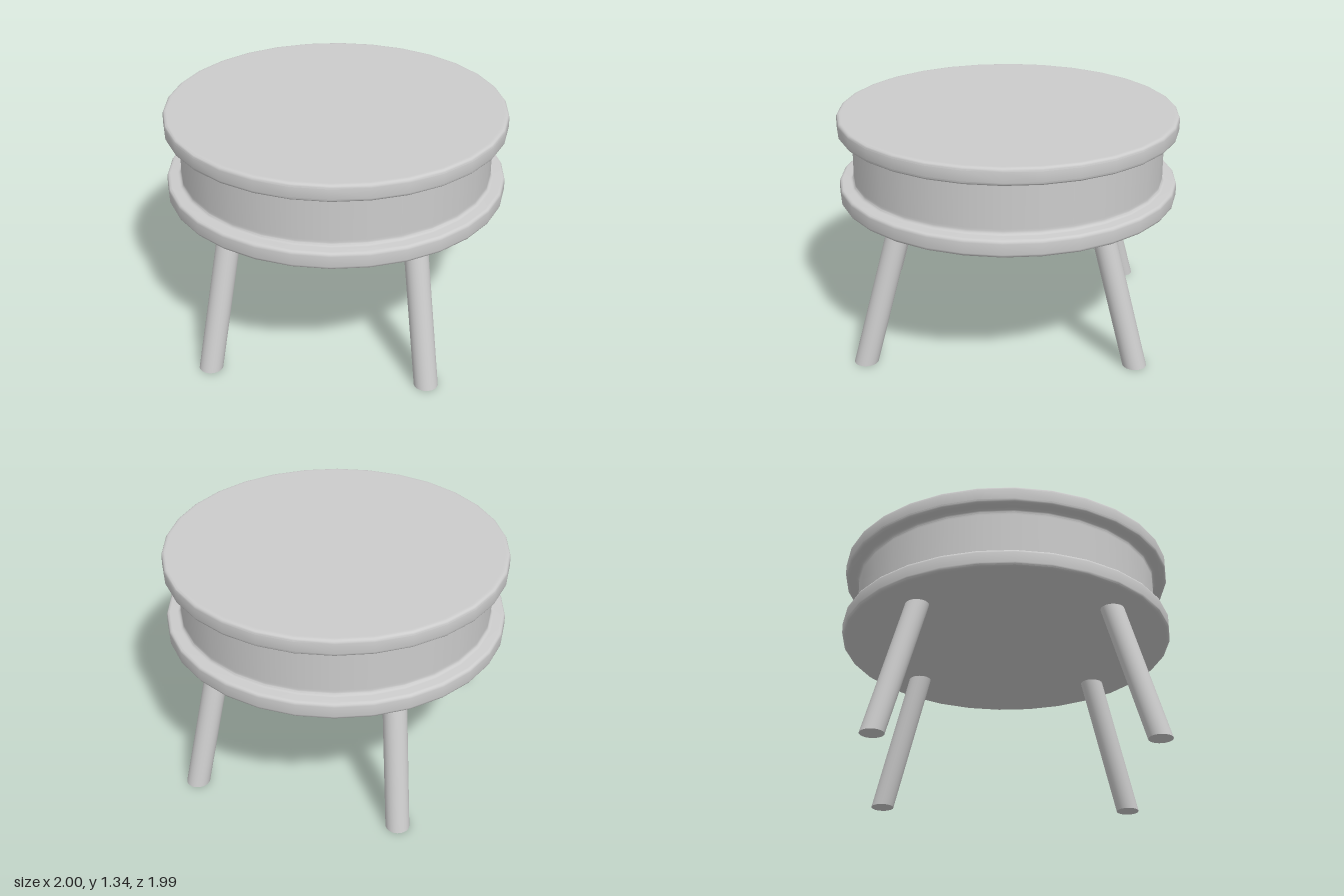
import * as THREE from 'three';
import { toCreasedNormals } from 'three/addons/utils/BufferGeometryUtils.js';

const SIDES = 30;
const BOTTOM = 0.837, TOP = 1.34;  // underside and upper face of the drum
const RIM = 0.1, ROUND = 0.02;     // rim thickness and edge rounding
const NECK = 0.916, FILLET = 0.02; // recessed wall radius and its fillets
const LOOP = 0.012;                // support loops keeping the large faces flat

// Drum profile, from the centre of the underside to the centre of the top
function drumProfile() {
  const q = Math.PI / 2, r = 1 - ROUND, n = NECK + FILLET;
  const low = BOTTOM + RIM + FILLET, high = TOP - RIM - FILLET;
  const path = new THREE.Path();
  path.moveTo(0, BOTTOM);
  path.lineTo(r - LOOP, BOTTOM);
  path.lineTo(r, BOTTOM);
  path.absarc(r, BOTTOM + ROUND, ROUND, -q, 0, false);
  path.absarc(r, BOTTOM + RIM - ROUND, ROUND, 0, q, false);
  path.absarc(n, low, FILLET, -q, -2 * q, true);
  path.lineTo(NECK, low + LOOP);
  path.lineTo(NECK, high - LOOP);
  path.absarc(n, high, FILLET, 2 * q, q, true);
  path.absarc(r, TOP - RIM + ROUND, ROUND, -q, 0, false);
  path.absarc(r, TOP - ROUND, ROUND, 0, q, false);
  path.lineTo(r - LOOP, TOP);
  path.lineTo(0, TOP);
  const points = path.getPoints(2);
  return points.filter((p, i) => i === 0 || p.distanceTo(points[i - 1]) > 1e-4);
}

// Round leg sheared so that both ends stay level
function legGeometry(foot, head) {
  const height = BOTTOM + 0.01;
  const geometry = new THREE.CylinderGeometry(0.069, 0.069, height, 24);
  geometry.translate(0, height / 2, 0);
  const dx = (head.x - foot.x) / BOTTOM, dz = (head.z - foot.z) / BOTTOM;
  return geometry.applyMatrix4(new THREE.Matrix4().set(
    1, dx, 0, foot.x,
    0, 1, 0, 0,
    0, dz, 1, foot.z,
    0, 0, 0, 1));
}

export function createModel() {
  const group = new THREE.Group();
  group.name = 'roundTable';
  const material = new THREE.MeshStandardMaterial({ color: 0xcccccc });
  const add = (name, geometry) => {
    const mesh = new THREE.Mesh(geometry, material);
    mesh.name = name;
    group.add(mesh);
  };

  // Drum-shaped top with two rims and a recessed wall
  const drum = new THREE.LatheGeometry(drumProfile(), SIDES, Math.PI / 2);
  add('drumTop', toCreasedNormals(drum, Math.PI / 6));

  // Four splayed legs, the front pair standing slightly further out
  for (const [side, s] of [['Left', 1], ['Right', -1]]) {
    add('front' + side + 'Leg', legGeometry({ x: 0.623 * s, z: 0.804 }, { x: 0.519 * s, z: 0.587 }));
    add('back' + side + 'Leg', legGeometry({ x: 0.623 * s, z: -0.748 }, { x: 0.519 * s, z: -0.535 }));
  }
  return group;
}
